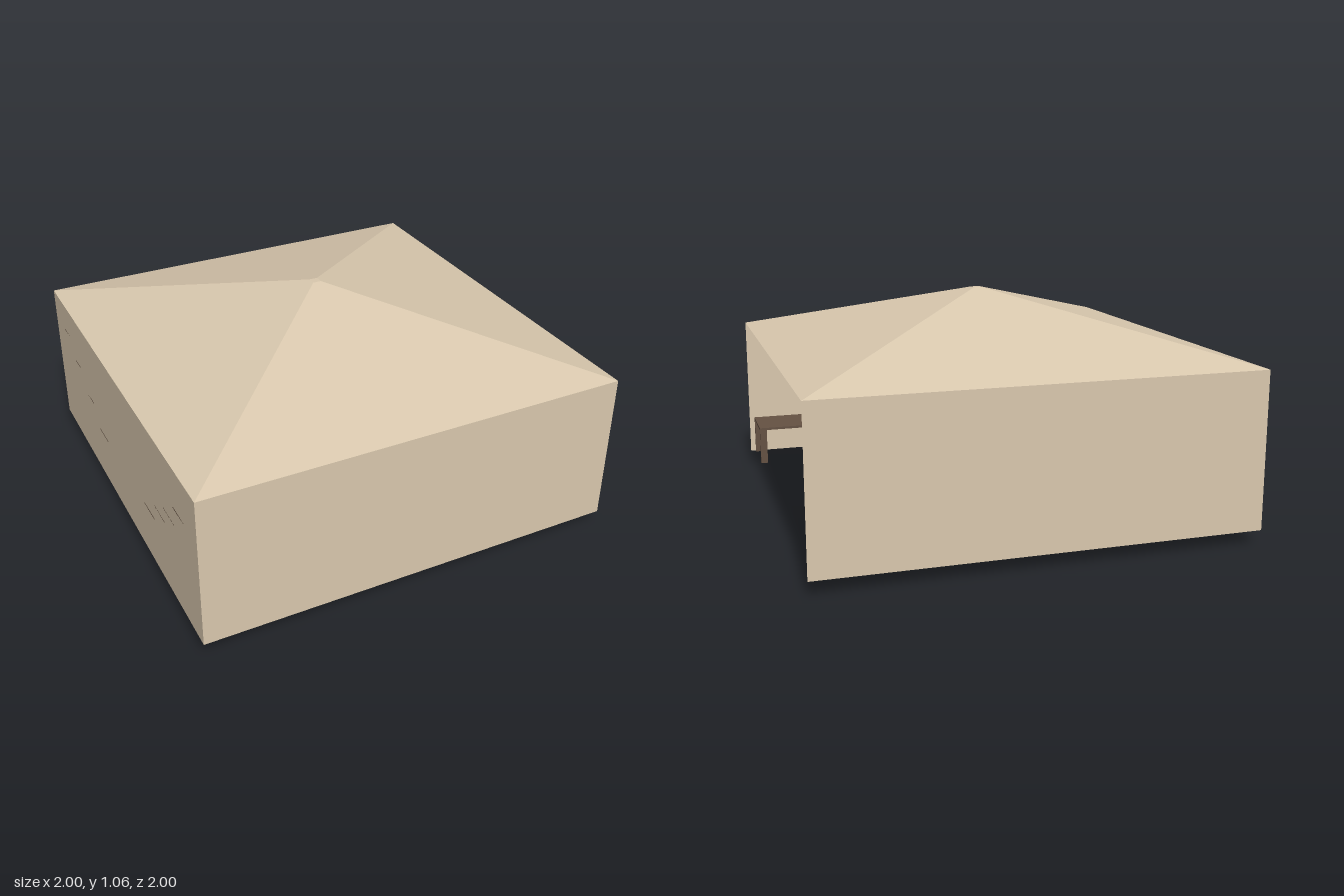
import * as THREE from 'three';

const canvas = new THREE.MeshStandardMaterial({ color: 0xd9c8ae, flatShading: true, side: THREE.DoubleSide });
const wood = new THREE.MeshStandardMaterial({ color: 0x655243, flatShading: true });

const EAVE = 0.785, HEM = 0.065, PEAK = 1.06;

// Box given by its minimum and maximum corners
function box(name, [x0, y0, z0], [x1, y1, z1]) {
  const mesh = new THREE.Mesh(new THREE.BoxGeometry(x1 - x0, y1 - y0, z1 - z0), wood);
  mesh.position.set((x0 + x1) / 2, (y0 + y1) / 2, (z0 + z1) / 2);
  mesh.name = name;
  return mesh;
}

// Table with a thin top and four flat legs flush with its corners
function table(name, { x: [x0, x1], z: [z0, z1], y: [y0, y1], top }) {
  const group = new THREE.Group();
  group.name = name;
  const legW = 0.035, legD = 0.013;
  group.add(box('tableTop', [x0, y1 - top, z0], [x1, y1, z1]));
  for (const x of [x0, x1 - legW]) {
    for (const z of [z0, z1 - legD]) {
      group.add(box('tableLeg', [x, y0, z], [x + legW, y1 - top, z + legD]));
    }
  }
  return group;
}

export function createModel() {
  const model = new THREE.Group();
  model.name = 'marketTent';

  // Four-sided roof with a tiny flat peak
  const profile = [[0, PEAK], [0.028, PEAK], [Math.SQRT2, EAVE]].map(([r, y]) => new THREE.Vector2(r, y));
  const roof = new THREE.Mesh(new THREE.LatheGeometry(profile, 4, Math.PI / 4), canvas);
  roof.name = 'roof';
  model.add(roof);

  // Cloth walls on three sides; the +x side stays open
  const walls = [['frontWall', 0, 1, 0], ['backWall', 0, -1, Math.PI], ['sideWall', -1, 0, -Math.PI / 2]];
  for (const [name, x, z, turn] of walls) {
    const wall = new THREE.Mesh(new THREE.PlaneGeometry(2, EAVE - HEM), canvas);
    wall.position.set(x, (EAVE + HEM) / 2, z);
    wall.rotation.y = turn;
    wall.name = name;
    model.add(wall);
  }

  // Long tables along the front and back walls, a shorter one in the middle
  model.add(table('frontTable', { x: [-0.96, 0.975], z: [0.73, 0.99], y: [HEM, 0.257], top: 0.012 }));
  model.add(table('backTable', { x: [-0.99, 0.94], z: [-0.967, -0.707], y: [HEM, 0.257], top: 0.012 }));
  model.add(table('middleTable', { x: [-0.325, 0.67], z: [-0.16, 0.17], y: [0, 0.2], top: 0.006 }));

  // Small stepped shelves on the side wall: [centre z, height]
  const shelves = [
    [0.795, 0.58], [0.662, 0.485], [0.532, 0.412], [0.39, 0.326],
    [-0.277, 0.326], [-0.477, 0.431], [-0.622, 0.532], [-0.787, 0.633],
  ];
  for (const [z, y] of shelves) {
    model.add(box('shelf', [-1, y - 0.003, z - 0.067], [-0.93, y + 0.003, z + 0.067]));
  }
  return model;
}
